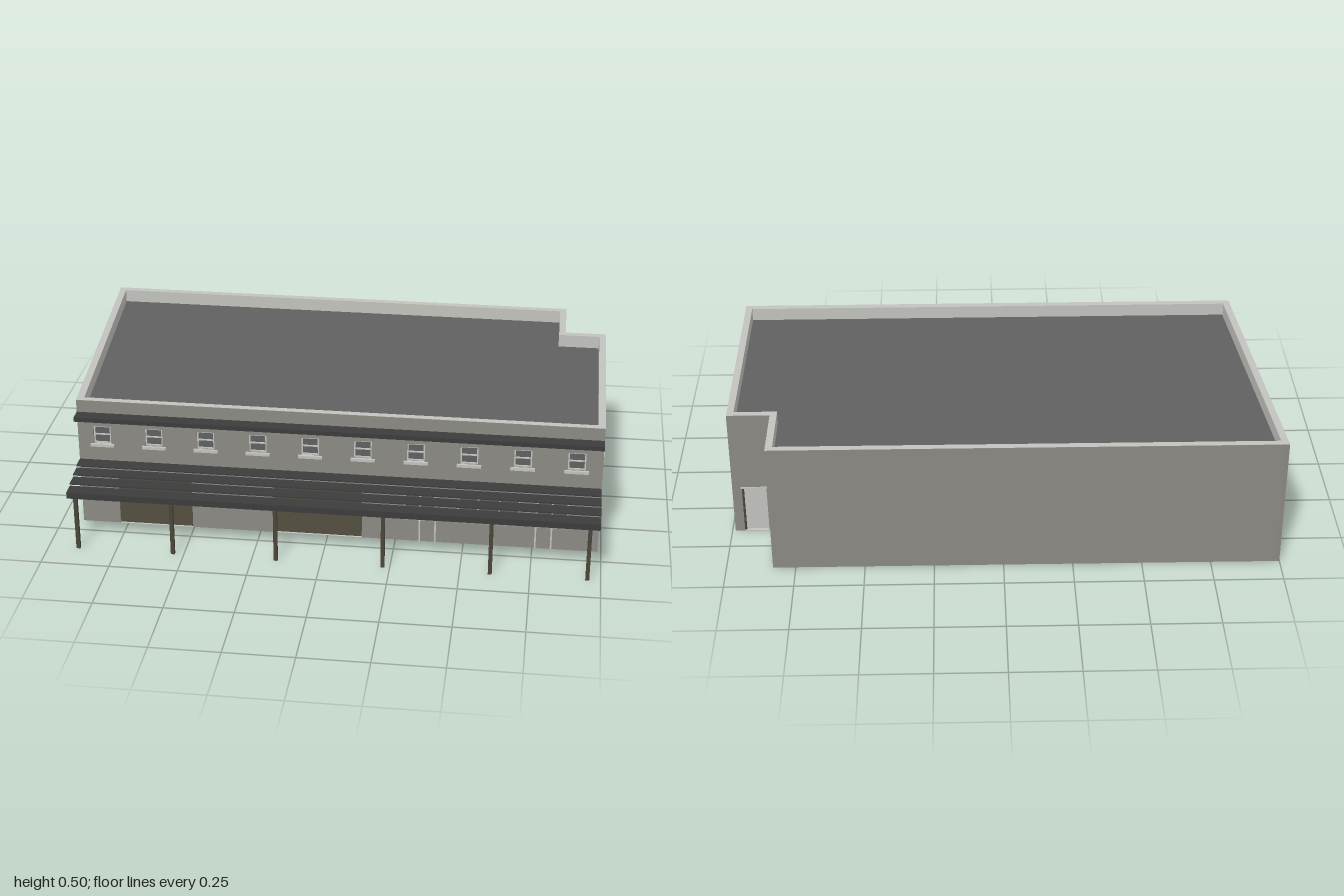
import * as THREE from 'three';

const mat = (name, color, double = false) => new THREE.MeshStandardMaterial({
  name, color, side: double ? THREE.DoubleSide : THREE.FrontSide });

export function createModel() {
  const M = {
    wall: mat('wall render', 0x8a8983),
    light: mat('light plaster', 0xc2c3bd, true),
    roof: mat('roof grey', 0x606060, true),
    glass: mat('window grey', 0x5e6062),
    canopy: mat('canopy charcoal', 0x3c3c3c),
    brown: mat('shutter brown', 0x544e40),
    post: mat('post brown', 0x4a4538),
  };
  const model = new THREE.Group();
  model.name = 'building';
  const H = 0.5, T = 0.0125; // wall height, thickness of each wall skin

  const add = (parent, geo, material, name) => {
    const m = new THREE.Mesh(geo, material);
    m.name = name;
    parent.add(m);
    return m;
  };
  const box = (parent, material, name, x0, x1, y0, y1, z0, z1) => {
    const m = add(parent, new THREE.BoxGeometry(x1 - x0, y1 - y0, z1 - z0), material, name);
    m.position.set((x0 + x1) / 2, (y0 + y1) / 2, (z0 + z1) / 2);
  };

  // Footprint as [x, z], counter-clockwise from above
  const outer = [[-0.92, 0.43], [0.988, 0.43], [0.988, -0.4], [0.832, -0.4], [0.832, -0.636], [-1, -0.64]];
  const inner = [[-0.895, 0.405], [0.963, 0.405], [0.963, -0.375], [0.807, -0.375], [0.807, -0.611], [-0.973, -0.615]];
  const plan = pts => pts.map(([x, z]) => new THREE.Vector2(x, -z));
  const flat = (shape, y, material, name) => {
    const m = add(model, new THREE.ShapeGeometry(shape).rotateX(-Math.PI / 2), material, name);
    m.position.y = y;
  };

  // Openings: c = centre along the wall, w = width, y0..y1 = height range
  const sash = c => ({ kind: 'sash', c, w: 0.064, y0: 0.328, y1: 0.397 });
  const low = c => ({ kind: 'low', c, w: 0.088, y0: 0.172, y1: 0.257 });
  const door = c => ({ kind: 'door', c, w: 0.09, y0: 0, y1: 0.188 });
  const shutter = (c, w) => ({ kind: 'shutter', c, w, y0: 0, y1: 0.205 });
  const shop = (c, w, bars, legs) => ({ kind: 'shop', c, w, bars, legs, y0: 0.085, y1: 0.2 });

  const front = [shutter(0.278, 0.275), shutter(0.883, 0.326),
    shop(1.258, 0.115, [0.5], [0.5, 1]), shop(1.508, 0.225, [0.33, 0.67], []), shop(1.738, 0.115, [0.5], [0, 0.5])];
  for (let i = 0; i < 10; i++) front.push(sash(0.09 + i * 0.1917));
  const right = [sash(0.185), sash(0.413), sash(0.64), low(0.185), low(0.64), door(0.415)];
  const leftSide = [0.175, 0.375, 0.735, 0.92].flatMap(c => [sash(c), low(c)]).concat([sash(0.545), door(0.545)]);
  const walls = [
    ['frontWall', front], ['rightWall', right], ['notchBackWall', [door(0.08)]],
    ['notchSideWall', [sash(0.117), door(0.117)]], ['backWall', []], ['leftWall', leftSide],
  ];

  // Sheet with holes, in the plane of the wall
  const skin = (u0, u1, holes) => {
    const s = new THREE.Shape();
    const doors = holes.filter(o => o.y0 === 0).sort((a, b) => a.c - b.c);
    s.moveTo(u0, 0);
    for (const o of doors) {
      s.lineTo(o.c - o.w / 2, 0);
      s.lineTo(o.c - o.w / 2, o.y1);
      s.lineTo(o.c + o.w / 2, o.y1);
      s.lineTo(o.c + o.w / 2, 0);
    }
    s.lineTo(u1, 0);
    s.lineTo(u1, H - 0.001);
    s.lineTo(u0, H - 0.001);
    s.closePath();
    for (const o of holes.filter(h => h.y0 > 0)) {
      const a = o.c - o.w / 2, b = o.c + o.w / 2;
      s.holes.push(new THREE.Path([[a, o.y0], [a, o.y1], [b, o.y1], [b, o.y0]].map(p => new THREE.Vector2(...p))));
    }
    return new THREE.ExtrudeGeometry(s, { depth: T, bevelEnabled: false });
  };

  // Joinery for one opening
  const fit = (g, o) => {
    const a = o.c - o.w / 2, b = o.c + o.w / 2, { y0, y1 } = o;
    const f = 0.005, zb = -T + 0.002, zf = -T + 0.007;
    const frame = (x0, x1, v0, v1) => box(g, M.light, 'windowFrame', x0, x1, v0, v1, zb, zf);
    if (o.kind === 'door') {
      box(g, M.roof, 'doorBack', a, b, 0, y1, -T - 0.004, -T);
      box(g, M.light, 'door', a, b, 0, y1, -T, -T + 0.004);
      box(g, M.post, 'doorJamb', a, a + 0.007, 0, y1, -T, -0.001);
      box(g, M.light, 'doorLintel', a - 0.004, b + 0.004, y1, y1 + 0.006, -T, 0.003);
      box(g, M.light, 'doorStep', a, b, 0, 0.004, -T, 0.003);
      return;
    }
    if (o.kind === 'shutter') {
      box(g, M.brown, 'shutterDoor', a, b, 0, y1, -T - 0.001, -T + 0.005);
      return;
    }
    box(g, M.glass, 'windowPane', a, b, y0, y1, -T - 0.001, -T + 0.003);
    if (o.kind === 'low') {
      box(g, M.light, 'windowSill', a - 0.004, b + 0.004, y0 - 0.005, y0, -T, 0.004);
      return;
    }
    frame(a, a + f, y0, y1);
    frame(b - f, b, y0, y1);
    frame(a, b, y1 - f, y1);
    frame(a, b, y0, y0 + f);
    if (o.kind === 'sash') {
      const mid = (y0 + y1) / 2;
      frame(a, b, mid - 0.002, mid + 0.003);
      box(g, M.light, 'windowSill', a - 0.012, b + 0.012, y0 - 0.011, y0, -T, 0.008);
    } else {
      frame(a, b, 0.172, 0.177); // transom
      for (const t of o.bars) frame(a + t * o.w - 0.003, a + t * o.w + 0.003, y0, y1);
      for (const t of o.legs) {
        const x = a + t * o.w;
        box(g, M.light, 'shopDoorFrame', x - 0.003, x + 0.003, 0, y0, -T, 0.002);
      }
    }
  };

  // Walls: outer render skin, inner plaster skin, openings
  walls.forEach(([name, holes], i) => {
    const [ax, az] = outer[i], [bx, bz] = outer[(i + 1) % 6];
    const len = Math.hypot(bx - ax, bz - az);
    const g = new THREE.Group();
    g.name = name;
    g.position.set(ax, 0, az);
    g.rotation.y = Math.atan2(-(bz - az), bx - ax);
    model.add(g);
    const startIn = i === 3, endIn = i === 2; // ends meeting the inward corner
    add(g, skin(startIn ? -T : 0, endIn ? len + T : len, holes), M.wall, name + 'Outside').position.z = -T;
    add(g, skin(startIn ? -2 * T : T, endIn ? len + 2 * T : len - T, holes.filter(o => o.kind === 'door')),
      M.light, name + 'Inside').position.z = -2 * T;
    holes.forEach(o => fit(g, o));
  });

  // Parapet coping, wall foot and flat roof
  const ring = new THREE.Shape(plan(outer));
  ring.holes.push(new THREE.Path(plan(inner)));
  flat(ring, H, M.light, 'parapetCoping');
  flat(ring, 0, M.light, 'wallFoot');
  flat(new THREE.Shape(plan(inner)), 0.45, M.roof, 'flatRoof');

  // Eaves band along the front
  box(model, M.canopy, 'eavesBand', -0.92, 0.988, 0.435, 0.452, 0.43, 0.478);

  // Stepped canopy with front beam and posts
  for (let i = 0; i < 4; i++) {
    const z = 0.43 + i * 0.052, y = 0.26 - i * 0.01;
    box(model, M.canopy, 'canopyBoard', -0.92, 0.988, y - 0.005, y, z, z + 0.054);
  }
  box(model, M.canopy, 'canopyBeam', -0.92, 0.988, 0.205, 0.226, 0.627, 0.638);
  for (const x of [-0.89, -0.54, -0.163, 0.224, 0.608, 0.953])
    box(model, M.post, 'canopyPost', x - 0.007, x + 0.007, 0, 0.226, 0.624, 0.637);

  return model;
}
